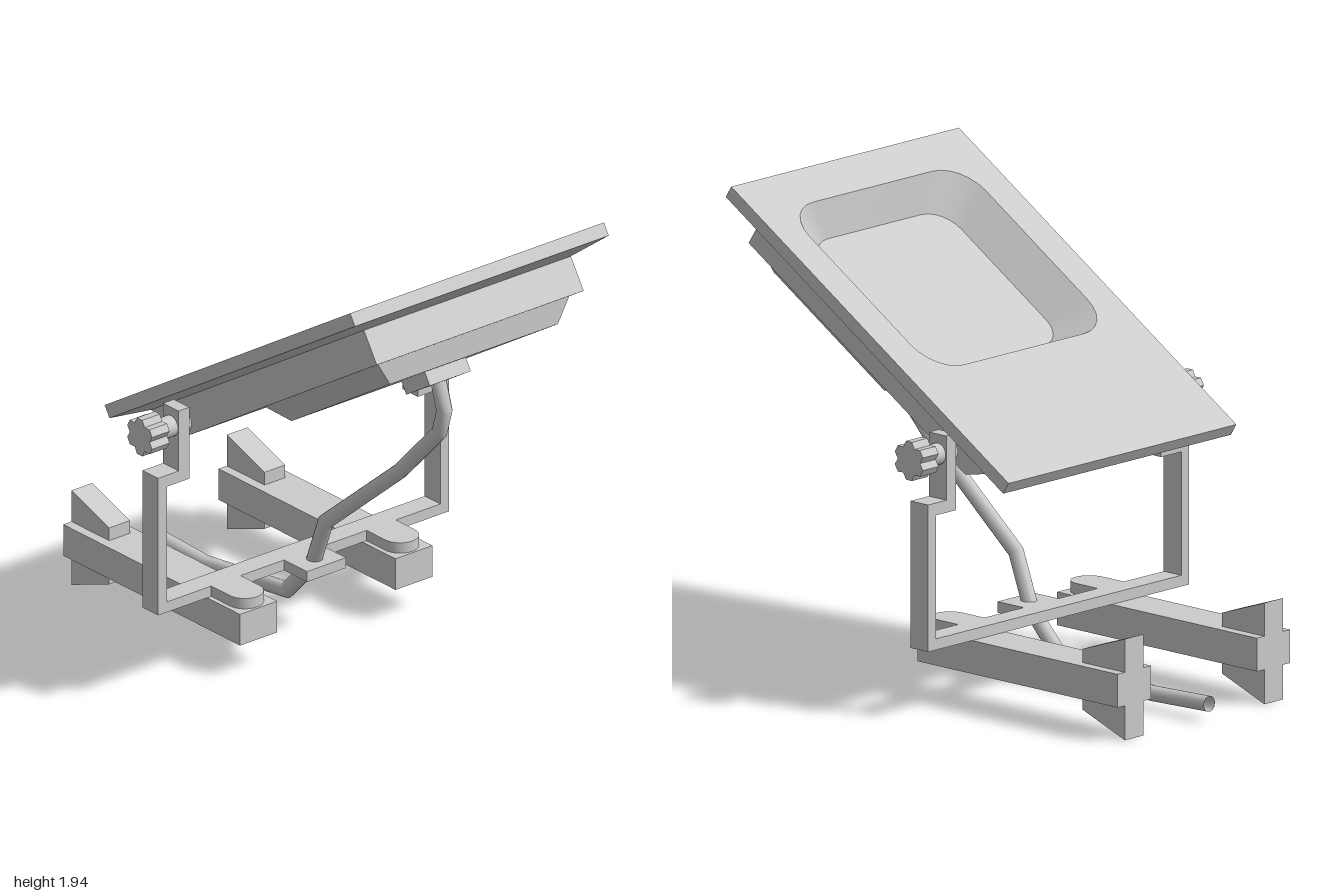
import * as THREE from 'three';
import { toCreasedNormals } from 'three/addons/utils/BufferGeometryUtils.js';

const material = new THREE.MeshStandardMaterial({ color: 0xcccccc, side: THREE.DoubleSide });

function add(parent, name, geometry, x = 0, y = 0, z = 0) {
  const mesh = new THREE.Mesh(geometry, material);
  mesh.name = name;
  mesh.position.set(x, y, z);
  parent.add(mesh);
  return mesh;
}

// Skin joining rings of [x, y, z] points, with an optional cap on the last ring
function loft(rings, cap = true) {
  const n = rings[0].length, index = [];
  for (let r = 0; r < rings.length - 1; r++) {
    for (let i = 0; i < n; i++) {
      const a = r * n + i, b = r * n + (i + 1) % n;
      index.push(a, b, a + n, b, b + n, a + n);
    }
  }
  const last = (rings.length - 1) * n;
  if (cap) for (let i = 1; i < n - 1; i++) index.push(last, last + i, last + i + 1);
  const g = new THREE.BufferGeometry();
  g.setAttribute('position', new THREE.Float32BufferAttribute(rings.flat(2), 3));
  g.setIndex(index);
  return toCreasedNormals(g, 0.6);
}

const rect = (y, x0, x1, hz) => [[x0, y, -hz], [x1, y, -hz], [x1, y, hz], [x0, y, hz]];

// Rounded rectangle in the panel's plane, as [x, z] points
function roundedRect(cx, hx, hz, r) {
  const pts = [];
  [[1, 1], [-1, 1], [-1, -1], [1, -1]].forEach(([sx, sz], k) => {
    for (let i = 0; i <= 6; i++) {
      const a = (k + i / 6) * Math.PI / 2;
      pts.push([cx + sx * (hx - r) + r * Math.cos(a), sz * (hz - r) + r * Math.sin(a)]);
    }
  });
  return pts;
}

const polygon = pts => new THREE.Shape(pts.map(p => new THREE.Vector2(p[0], p[1])));
const extrude = (shape, depth) =>
  new THREE.ExtrudeGeometry(shape, { depth, bevelEnabled: false, curveSegments: 8 });

// Tilted panel: local x runs up the slope, local y is its normal
function createPanel() {
  const panel = new THREE.Group();
  panel.name = 'panel';
  panel.position.set(-0.53, 1.0, 0);
  panel.rotation.z = THREE.MathUtils.degToRad(32.1);

  const rim = roundedRect(1.11, 0.484, 0.503, 0.16);
  const floor = roundedRect(1.11, 0.39, 0.388, 0.12);
  const face = polygon([[0, -0.65], [1.77, -0.65], [1.77, 0.65], [0, 0.65]]);
  face.holes.push(polygon(rim));
  add(panel, 'facePlate', extrude(face, 0.055).rotateX(Math.PI / 2));

  // Recess sunk into the plate, facing up
  const level = (pts, y) => pts.map(([x, z]) => [x, y, z]).reverse();
  add(panel, 'recess', loft([level(rim, 0), level(floor, -0.13)]));

  // Stepped housing below the plate
  add(panel, 'backHousing', loft([
    rect(-0.055, 0, 1.77, 0.65), rect(-0.08, 0.115, 1.65, 0.53), rect(-0.225, 0.27, 1.652, 0.53)]));
  add(panel, 'lowerHousing', loft([rect(-0.225, 0.79, 1.604, 0.49), rect(-0.313, 0.841, 1.551, 0.43)]));
  add(panel, 'cableSocket', new THREE.BoxGeometry(0.17, 0.07, 0.21), 1.26, -0.335, 0);
  return panel;
}

// Cable with mitred bends, lying in the z = 0 plane
function createCable() {
  const path = [[0.73, 1.38], [0.77, 1.25], [0.74, 1.145], [0.5, 0.89], [0.045, 0.505],
    [-0.035, 0.29], [-0.19, 0.125], [-0.69, 0.06], [-1.0, 0.07]].map(p => new THREE.Vector2(...p));
  const radius = 0.032, sides = 12;
  const rings = path.map((p, i) => {
    const before = p.clone().sub(path[Math.max(i - 1, 0)]).normalize();
    const after = path[Math.min(i + 1, path.length - 1)].clone().sub(p).normalize();
    const t = before.clone().add(after).normalize();
    const mitre = radius / Math.max(t.dot(after), t.dot(before));
    return Array.from({ length: sides }, (_, k) => {
      const a = k / sides * Math.PI * 2, c = Math.cos(a) * mitre;
      return [p.x - t.y * c, p.y + t.x * c, Math.sin(a) * radius];
    });
  });
  return loft(rings, false);
}

// Six-lobed star outline with blunt tips
function knobShape() {
  const pts = [];
  for (let i = 0; i < 6; i++) {
    const a = Math.PI / 2 + i * Math.PI / 3;
    for (const [da, r] of [[-0.2, 0.08], [0.2, 0.08], [Math.PI / 6, 0.06]]) {
      pts.push([r * Math.cos(a + da), r * Math.sin(a + da)]);
    }
  }
  return polygon(pts);
}

export function createModel() {
  const model = new THREE.Group();
  model.name = 'tiltingPanelStand';
  model.add(createPanel());
  add(model, 'cable', createCable());

  // Bent strap yoke: half outline, mirrored across z
  const half = [[0.745, 0.275], [0.745, 0.87], [0.64, 0.87], [0.64, 1.13],
    [0.585, 1.13], [0.585, 0.82], [0.7, 0.82], [0.7, 0.32]];
  const outline = [...half, ...half.map(([z, y]) => [-z, y]).reverse()];
  add(model, 'yoke', extrude(polygon(outline), 0.095).rotateY(Math.PI / 2), -0.185);
  add(model, 'cableTab', new THREE.BoxGeometry(0.14, 0.045, 0.2), -0.02, 0.2975, 0);

  // Rounded tab that fixes the yoke to a leg
  const tab = new THREE.Shape();
  tab.moveTo(-0.09, -0.075);
  tab.lineTo(0.025, -0.075);
  tab.absarc(0.025, 0, 0.075, -Math.PI / 2, Math.PI / 2, false);
  tab.lineTo(-0.09, 0.075);
  const tabGeometry = toCreasedNormals(extrude(tab, 0.045).rotateX(Math.PI / 2), 0.6);

  const upperFoot = polygon([[-0.97, 0.275], [-0.74, 0.275], [-0.74, 0.33], [-0.97, 0.41]]);
  const lowerFoot = polygon([[-0.97, 0.0], [-0.74, 0.085], [-0.74, 0.14], [-0.97, 0.14]]);

  for (const s of [1, -1]) {
    const side = new THREE.Group();
    side.name = s > 0 ? 'frontSide' : 'backSide';
    model.add(side);
    // Leg with its wedge feet
    add(side, 'leg', new THREE.BoxGeometry(1.08, 0.135, 0.19), -0.43, 0.2075, s * 0.398);
    add(side, 'upperFoot', extrude(upperFoot, 0.106), 0, 0, s * 0.398 - 0.053);
    add(side, 'lowerFoot', extrude(lowerFoot, 0.106), 0, 0, s * 0.398 - 0.053);
    add(side, 'legTab', tabGeometry, 0, 0.32, s * 0.398);
    // Pivot screw and star knob
    const shaft = new THREE.CylinderGeometry(0.044, 0.044, 0.16, 16).rotateX(Math.PI / 2);
    add(side, 'pivotShaft', shaft, -0.137, 1.05, s * 0.65);
    add(side, 'knob', extrude(knobShape(), 0.09), -0.135, 1.05, s * 0.757 - 0.045);
  }
  return model;
}
